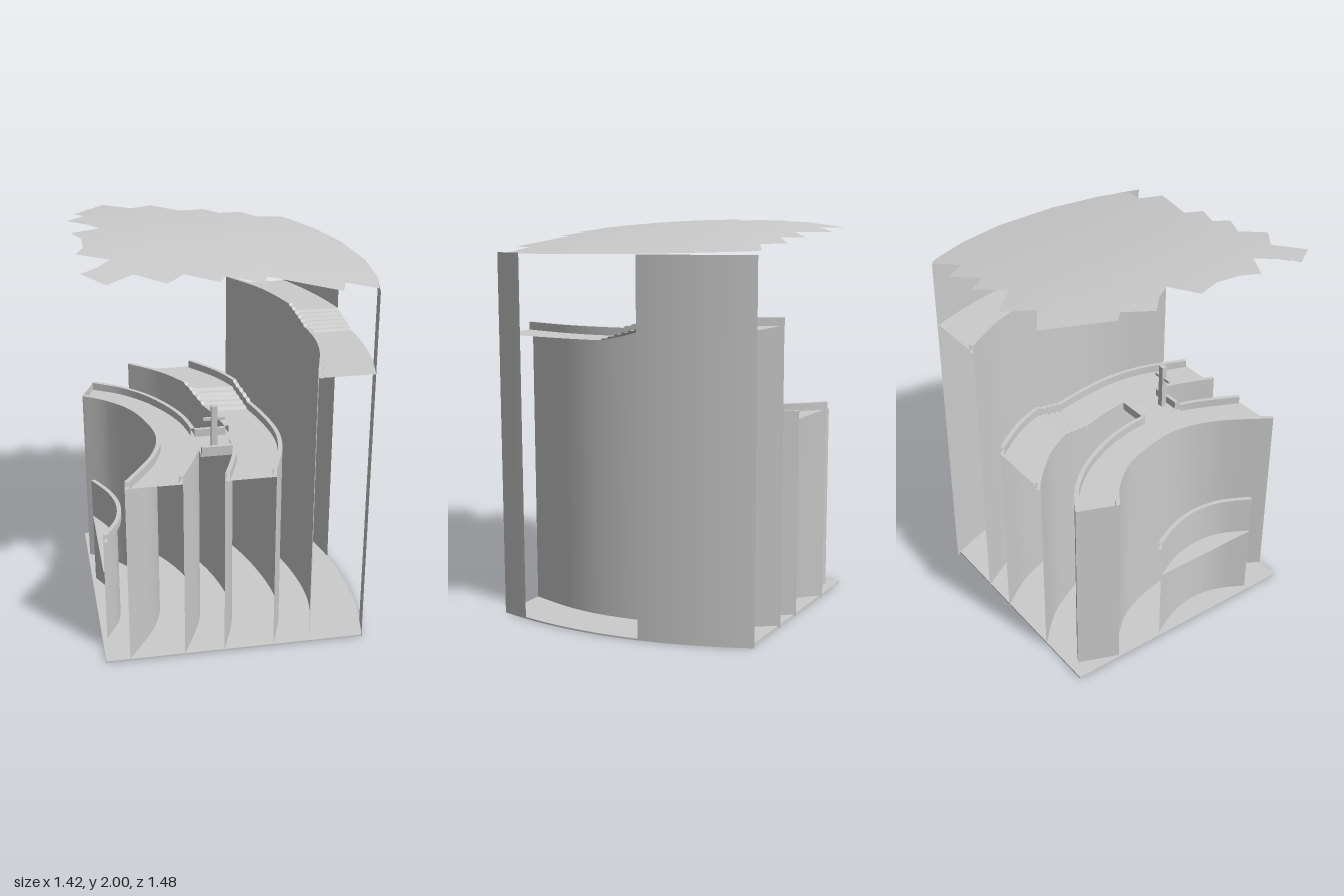
import * as THREE from 'three';

const N = 120;
const grey = new THREE.MeshStandardMaterial({ color: 0xcccccc, side: THREE.DoubleSide });

// Indexed surface through rows of equally many points
function loft(rows, closed = false) {
  const w = rows[0].length, pos = rows.flat(2), idx = [];
  for (let i = 0; i < rows.length - 1; i++) {
    for (let j = 0; j < (closed ? w : w - 1); j++) {
      const a = i * w + j, b = i * w + (j + 1) % w, c = a + w, d = b + w;
      idx.push(a, c, b, b, c, d);
    }
  }
  const g = new THREE.BufferGeometry();
  g.setAttribute('position', new THREE.Float32BufferAttribute(pos, 3));
  g.setIndex(idx);
  g.computeVertexNormals();
  return g;
}

// Plan curve sampled as [x, z] pairs
function plan(points) {
  const c = new THREE.SplineCurve(points.map(p => new THREE.Vector2(...p)));
  return c.getPoints(N).map(p => [p.x, p.y]);
}

// Floor height that climbs in steps between two depths
const stepped = (low, rise, z0, z1, n) => z =>
  low + rise * Math.floor(n * THREE.MathUtils.clamp((z0 - z) / (z0 - z1), 0, 1)) / n;

// Plan position of the large outer wall
const outerX = z => 0.69 - (z - 0.18) ** 2 / 3.8;

export function createModel() {
  const model = new THREE.Group();
  const add = (name, geometry) => {
    const m = new THREE.Mesh(geometry, grey);
    m.name = name;
    model.add(m);
    return m;
  };
  const box = (name, w, h, d, x, y, z) =>
    add(name, new THREE.BoxGeometry(w, h, d)).position.set(x, y, z);

  const wall = (name, pts, height) =>
    add(name, loft(pts.map(([x, z]) => [[x, 0, z], [x, height(z), z]])));
  const floor = (name, a, b, height) =>
    add(name, loft(a.map(([x, z], i) => {
      const y = height(z);
      return [[x, y, z], [b[i][0], y, b[i][1]]];
    })));
  // Low parapet with a square section, on the chosen side of the curve
  const parapet = (name, pts, height, side, keep = () => true) => {
    let run = [];
    const flush = () => {
      if (run.length > 1) {
        const g = loft(run, true).toNonIndexed();
        g.computeVertexNormals();
        add(name, g);
      }
      run = [];
    };
    pts.forEach(([x, z], i) => {
      if (!keep(z)) return flush();
      const p = pts[Math.max(i - 1, 0)], q = pts[Math.min(i + 1, N)];
      const dx = q[0] - p[0], dz = q[1] - p[1], l = Math.hypot(dx, dz);
      const ox = x - side * 0.022 * dz / l, oz = z + side * 0.022 * dx / l;
      const y = height(z);
      run.push([[x, y, z], [x, y + 0.04, z], [ox, y + 0.04, oz], [ox, y, oz]]);
    });
    flush();
  };

  // Ground plate with a curved left edge
  const ground = new THREE.Shape();
  ground.moveTo(-0.68, 0.65);
  ground.lineTo(-0.68, -0.67);
  for (let i = 0; i <= 30; i++) {
    const z = 0.67 - 1.32 * i / 30;
    ground.lineTo(outerX(z), -z);
  }
  const plate = new THREE.ExtrudeGeometry(ground, { depth: 0.008, bevelEnabled: false });
  plate.rotateX(-Math.PI / 2);
  add('groundPlate', plate);

  // Outer wall, open in the middle
  const arc = (z0, z1) => Array.from({ length: N + 1 }, (_, i) => {
    const z = z0 + (z1 - z0) * i / N;
    return [outerX(z), z];
  });
  wall('outerWallFront', arc(0.68, 0.53), () => 1.84);
  wall('outerWallBack', arc(-0.13, -0.67), () => 1.84);

  // Five bulging walls, from the low right one to the tall left one
  const w1 = plan([[-0.56, 0.67], [-0.4, 0.4], [-0.35, 0.16], [-0.42, -0.13], [-0.54, -0.3], [-0.67, -0.4]]);
  const w2 = plan([[-0.285, 0.67], [-0.17, 0.4], [-0.14, 0.17], [-0.18, -0.08], [-0.29, -0.32], [-0.43, -0.49], [-0.59, -0.6]]);
  const w3 = plan([[-0.085, 0.67], [0, 0.42], [0.02, 0.18], [-0.05, -0.15], [-0.2, -0.46], [-0.39, -0.66]]);
  const w4 = plan([[0.165, 0.67], [0.25, 0.42], [0.27, 0.18], [0.215, -0.15], [0.11, -0.45], [-0.03, -0.66]]);
  const w5 = plan([[0.35, 0.67], [0.425, 0.4], [0.44, 0.16], [0.4, -0.13], [0.31, -0.42], [0.17, -0.66]]);
  const low = () => 0.95;
  const mid = stepped(0.95, 0.07, -0.14, -0.32, 5);
  const high = stepped(1.44, 0.06, 0.1, -0.13, 6);
  const awayFromBridge = z => z < 0.14 || z > 0.36;

  wall('lowGalleryInnerWall', w1, low);
  wall('lowGalleryOuterWall', w2, low);
  floor('lowGalleryFloor', w1, w2, low);
  parapet('lowGalleryParapet', w1, low, 1);
  parapet('lowGalleryParapet', w2, low, -1, awayFromBridge);
  wall('lowGalleryEndWall', [w1[N], w2[N]], low);
  add('lowGalleryEndParapet', loft([w1[N], w2[N]].map(([x, z]) => [[x, 0.95, z], [x, 0.99, z]])));

  wall('middleGalleryInnerWall', w3, mid);
  wall('middleGalleryOuterWall', w4, mid);
  floor('middleGalleryFloor', w3, w4, mid);
  parapet('middleGalleryParapet', w3, mid, 1, awayFromBridge);
  parapet('middleGalleryParapet', w4, mid, -1);

  wall('highGalleryWall', w5, high);
  floor('highGalleryFloor', w5, arc(0.67, -0.66), high);
  parapet('highGalleryParapet', w5, high, 1);

  // Bridge between the lower galleries with its side rails
  box('bridgeFloor', 0.17, 0.015, 0.22, -0.065, 0.943, 0.25);
  for (const z of [0.14, 0.36]) box('bridgeRail', 0.16, 0.04, 0.02, -0.065, 0.97, z);

  // Upright post with a crossbar
  box('post', 0.03, 0.24, 0.03, -0.075, 1.07, 0.32);
  box('postCrossbar', 0.11, 0.014, 0.014, -0.075, 1.12, 0.32);

  // Low curved balcony on the right side
  const balcony = plan([[-0.66, -0.13], [-0.59, 0.02], [-0.56, 0.17], [-0.58, 0.32], [-0.655, 0.47]]);
  wall('balconyWall', balcony, () => 0.57);
  parapet('balconyParapet', balcony, () => 0.57, -1);
  floor('balconyFloor', balcony, balcony.map(([, z]) => [-0.66, z]), () => 0.4);

  // Jagged, gently domed roof sheet built from shrinking rings of its outline
  const rim = [
    [-0.495, -0.715], [-0.35, -0.617], [-0.235, -0.742], [-0.09, -0.6], [0.05, -0.71],
    [0.12, -0.613], [0.26, -0.71], [0.333, -0.6], [0.48, -0.68], [0.515, -0.64],
    [0.61, -0.43], [0.68, -0.175], [0.71, 0.16], [0.685, 0.45], [0.638, 0.615],
    [0.488, 0.58], [0.445, 0.702], [0.12, 0.588], [0.085, 0.682], [-0.07, 0.61],
    [-0.115, 0.69], [-0.26, 0.61], [-0.35, 0.725], [-0.484, 0.62], [-0.615, 0.737],
    [-0.713, 0.6], [-0.64, 0.535], [-0.567, 0.433], [-0.713, 0.347], [-0.675, 0.25],
    [-0.67, 0.12], [-0.713, 0], [-0.567, -0.078], [-0.625, -0.165], [-0.713, -0.247],
    [-0.62, -0.37], [-0.67, -0.42],
  ];
  const roofY = (x, z) => 2 - 0.16 * Math.max(0, (x + 0.713) / 1.42) ** 1.6 - 0.04 * (z / 0.74) ** 2 * (1 - 0.5 * (x + 0.7) / 1.4);
  const rings = [];
  for (let k = 0; k <= 12; k++) {
    rings.push(rim.map(([x, z]) => {
      const s = Math.max(k, 0.01) / 12;
      return [x * s, roofY(x * s, z * s), z * s];
    }));
  }
  add('roof', loft(rings, true));

  return model;
}
